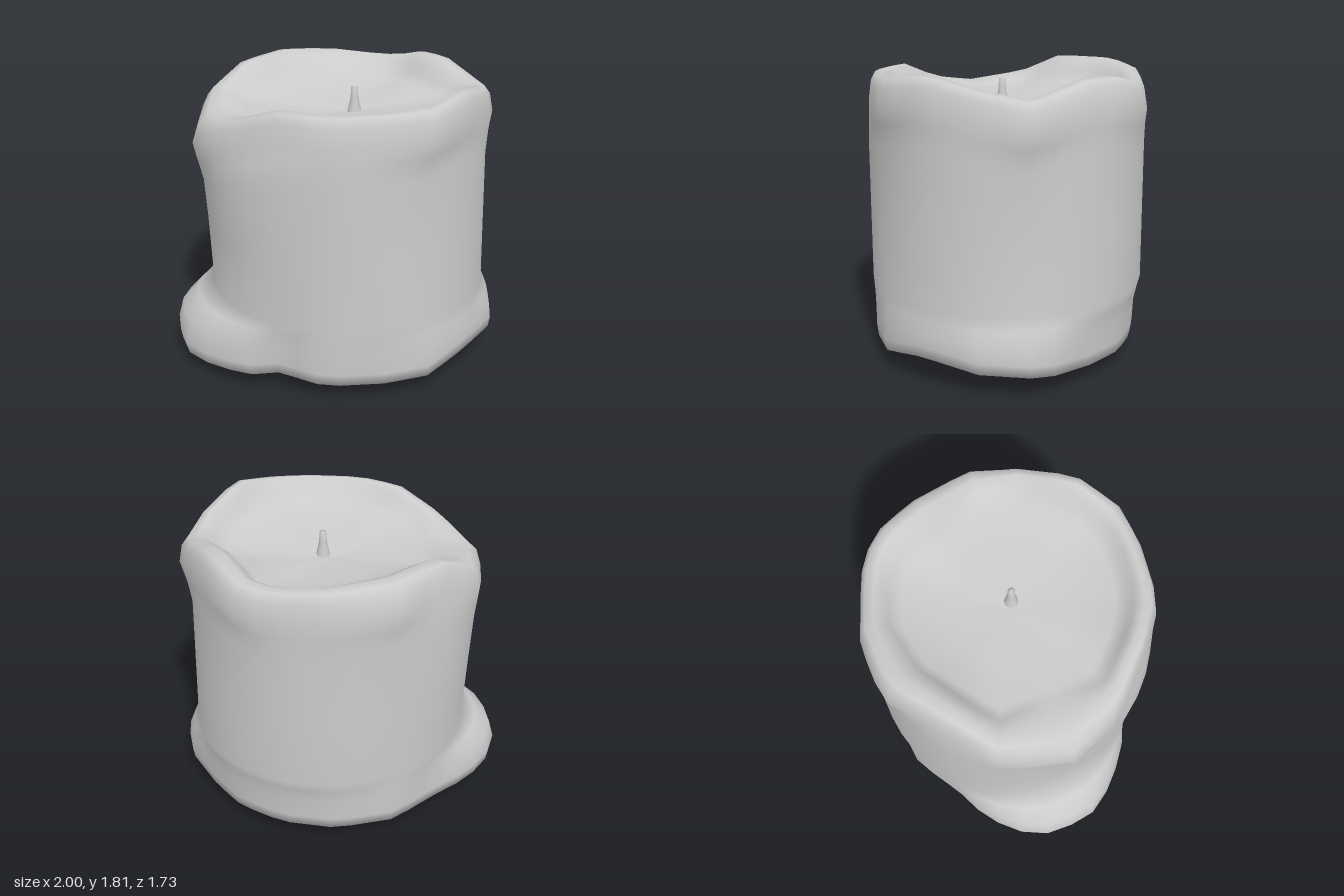
import * as THREE from 'three';

const SIDES = 40;
const CX = 0.05;
const mix = THREE.MathUtils.lerp;

// Plan outlines as [x, z, y], starting near +x and turning towards +z
const rimOutline = [
  [0.92, 0, 1.74], [0.85, 0.36, 1.82], [0.69, 0.63, 1.77], [0.45, 0.76, 1.76], [0.1, 0.87, 1.75],
  [-0.2, 0.8, 1.75], [-0.56, 0.67, 1.63], [-0.8, 0.44, 1.59], [-0.88, 0.02, 1.65], [-0.75, -0.28, 1.77],
  [-0.56, -0.66, 1.78], [-0.24, -0.82, 1.76], [0.1, -0.86, 1.73], [0.27, -0.87, 1.73],
  [0.45, -0.78, 1.78], [0.63, -0.62, 1.79], [0.92, -0.3, 1.69],
];
const lipOutline = [
  [0.76, 0, 1.67], [0.68, 0.35, 1.72], [0.53, 0.56, 1.69], [0.3, 0.66, 1.68], [0.1, 0.7, 1.67],
  [-0.1, 0.67, 1.67], [-0.37, 0.55, 1.59], [-0.48, 0.3, 1.57], [-0.64, -0.01, 1.6], [-0.53, -0.24, 1.68],
  [-0.39, -0.48, 1.7], [-0.15, -0.65, 1.69], [0.1, -0.69, 1.66], [0.28, -0.65, 1.66],
  [0.42, -0.5, 1.68], [0.71, -0.22, 1.63],
];
const footOutline = [
  [1, 0, 0.15], [0.87, 0.38, 0.18], [0.69, 0.63, 0.12], [0.45, 0.76, 0.11], [0.1, 0.87, 0.11],
  [-0.2, 0.79, 0.12], [-0.41, 0.83, 0.1], [-0.8, 0.69, 0.09], [-1, 0.4, 0.12], [-1, 0.1, 0.12],
  [-0.88, -0.13, 0.12], [-0.75, -0.28, 0.1], [-0.56, -0.58, 0.1], [-0.24, -0.77, 0.1], [0.1, -0.82, 0.1],
  [0.4, -0.76, 0.1], [0.63, -0.62, 0.1], [0.95, -0.37, 0.13],
];

// Wall radii at eight directions: the wall leans a little to the front left
const wallBottom = [0.875, 0.866, 0.852, 0.865, 0.865, 0.838, 0.855, 0.872];
const wallTop = [0.857, 0.835, 0.865, 0.905, 0.895, 0.848, 0.85, 0.84];

function wallRadius(radii, a) {
  const s = (a / (Math.PI * 2)) * radii.length;
  const i = Math.floor(s);
  return mix(radii[i], radii[(i + 1) % radii.length], THREE.MathUtils.smoothstep(s - i, 0, 1));
}

// Radius and height of an outline in the direction of angle a
function sample(outline, a) {
  const dx = Math.cos(a), dz = Math.sin(a);
  const side = ([x, z]) => (x - CX) * dz - z * dx;
  for (let i = 0; i < outline.length; i++) {
    const p = outline[i], q = outline[(i + 1) % outline.length];
    const s = side(p), e = side(q);
    if (s < 0 || e >= 0) continue;
    const t = s / (s - e);
    const r = (mix(p[0], q[0], t) - CX) * dx + mix(p[1], q[1], t) * dz;
    if (r > 0) return { r, y: mix(p[2], q[2], t) };
  }
}

// Section [radius, height] from the underside, up the wall, over the rim and into the bowl
function section(a) {
  const rim = sample(rimOutline, a);
  const lip = sample(lipOutline, a);
  const foot = sample(footOutline, a);
  const low = wallRadius(wallBottom, a);
  const high = wallRadius(wallTop, a);
  const sag = Math.max(0, Math.cos(a - 2.7)) ** 3;
  return [
    [0, 0.14],
    [foot.r * 0.42, mix(0.14, 0.08, sag)],
    [foot.r * 0.76, mix(0.13, 0, sag)],
    [foot.r * 0.99, foot.y],
    [foot.r, foot.y + 0.07],
    [mix(low, foot.r, 0.86), 0.31],
    [mix(low, foot.r, 0.42), 0.4],
    [low, 0.47],
    [mix(low, high, 0.5), 0.9],
    [high, rim.y - 0.4],
    [mix(high, rim.r, 0.6), rim.y - 0.27],
    [rim.r, rim.y - 0.17],
    [mix(rim.r, lip.r, 0.1), rim.y - 0.06],
    [mix(rim.r, lip.r, 0.27), rim.y - 0.01],
    [mix(rim.r, lip.r, 0.55), rim.y],
    [mix(rim.r, lip.r, 0.85), mix(rim.y, lip.y, 0.4)],
    [lip.r, lip.y],
    [lip.r * 0.9, mix(1.555, lip.y, 0.55)],
    [lip.r * 0.55, mix(1.555, lip.y, 0.18)],
    [0, 1.55],
  ];
}

function waxGeometry() {
  const pos = [], index = [];
  let rows;
  for (let j = 0; j < SIDES; j++) {
    const a = (j / SIDES) * Math.PI * 2;
    const points = section(a);
    rows = points.length;
    for (const [r, y] of points) pos.push(CX + r * Math.cos(a), y, r * Math.sin(a));
  }
  for (let j = 0; j < SIDES; j++) {
    const here = j * rows, next = ((j + 1) % SIDES) * rows;
    for (let i = 0; i < rows - 1; i++) {
      // The first and last rows are points, so they need one triangle only
      if (i > 0) index.push(here + i, here + i + 1, next + i);
      if (i < rows - 2) index.push(next + i, here + i + 1, next + i + 1);
    }
  }
  const geo = new THREE.BufferGeometry();
  geo.setAttribute('position', new THREE.Float32BufferAttribute(pos, 3));
  geo.setIndex(index);
  geo.computeVertexNormals();
  return geo;
}

export function createModel() {
  const group = new THREE.Group();
  group.name = 'meltedCandle';
  const material = new THREE.MeshStandardMaterial({ color: 0xcccccc });

  // Wax body with sagging rim, shallow bowl and a puddle at the foot
  const wax = new THREE.Mesh(waxGeometry(), material);
  wax.name = 'waxBody';
  group.add(wax);

  // Flared wick
  const profile = [[0.043, 0], [0.036, 0.035], [0.024, 0.09], [0.02, 0.155], [0, 0.16]];
  const wick = new THREE.Mesh(
    new THREE.LatheGeometry(profile.map(([x, y]) => new THREE.Vector2(x, y)), 10),
    material
  );
  wick.name = 'wick';
  wick.position.set(0.1, 1.55, 0.02);
  group.add(wick);

  return group;
}
